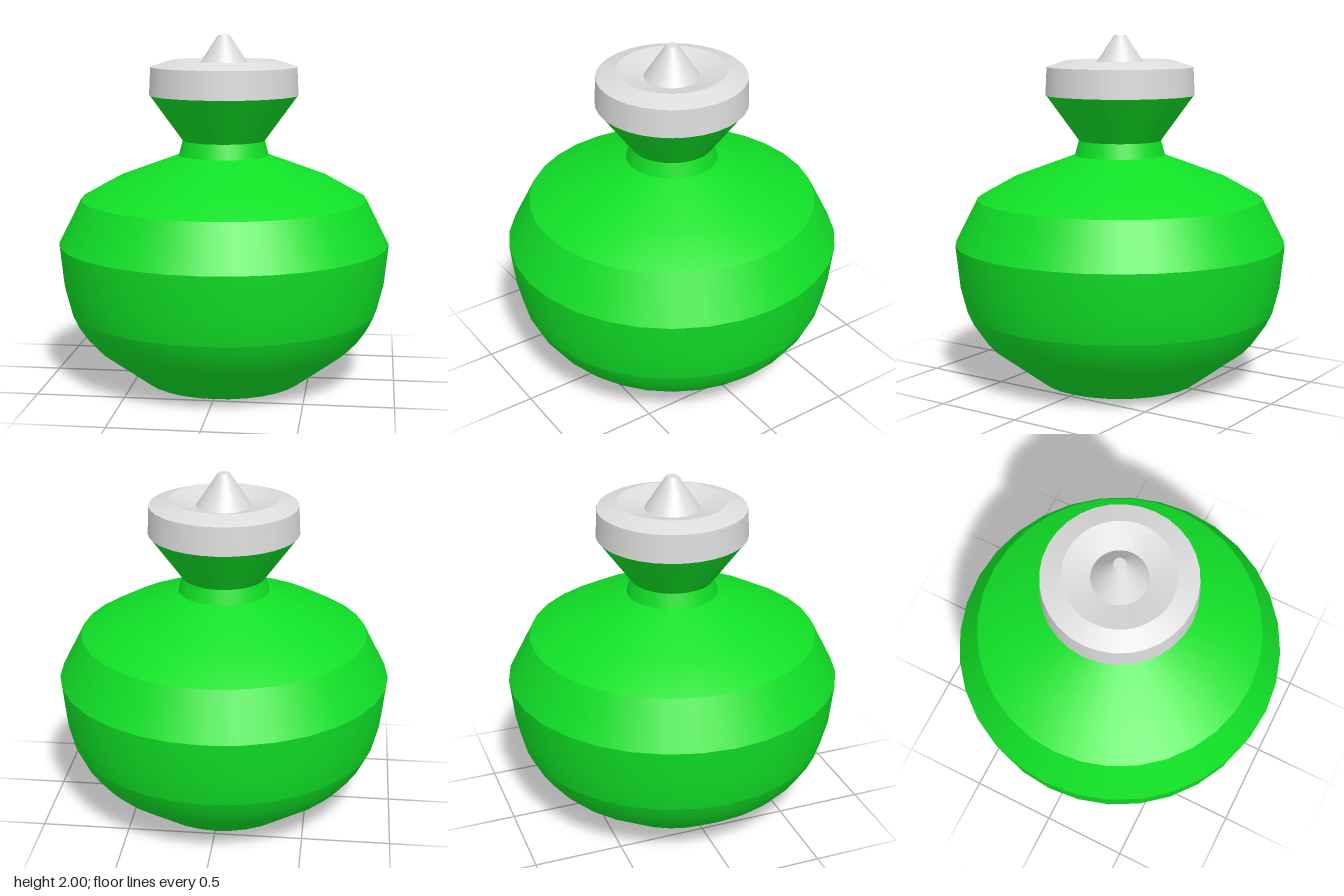
import * as THREE from 'three';

const SIDES = 32;

export function createModel() {
  const green = new THREE.MeshStandardMaterial({ color: 0x10e026 });
  green.name = 'green glaze';
  const grey = new THREE.MeshStandardMaterial({ color: 0xdcdcdc });
  grey.name = 'light grey metal';

  const model = new THREE.Group();
  model.name = 'lidded pot';

  // One turned part: each band is smooth, with sharp edges between bands.
  // Profiles are [radius, height] and run from bottom to top.
  function turned(name, material, bands) {
    const part = new THREE.Group();
    part.name = name;
    bands.forEach((band, i) => {
      const points = band.map(([r, y]) => new THREE.Vector2(r, y));
      const mesh = new THREE.Mesh(new THREE.LatheGeometry(points, SIDES), material);
      mesh.name = `${name}Band${i + 1}`;
      part.add(mesh);
    });
    model.add(part);
  }

  // Round belly with its flat foot
  turned('belly', green, [
    [[0, 0], [0.47, 0]],
    [[0.47, 0], [0.75, 0.21], [0.802, 0.265], [0.857, 0.345], [0.892, 0.42]],
    [[0.892, 0.42], [0.93, 0.57], [0.955, 0.81]],
    [[0.955, 0.81], [0.823, 1.068]],
    [[0.823, 1.068], [0.622, 1.18], [0.26, 1.315]],
  ]);

  // Narrow collar and flared neck
  turned('neck', green, [
    [[0.26, 1.315], [0.237, 1.4]],
    [[0.237, 1.4], [0.425, 1.66]],
  ]);

  // Lid: underside, side wall, sloped rim and sunken dish
  turned('lid', grey, [
    [[0.42, 1.66], [0.428, 1.66]],
    [[0.428, 1.66], [0.42, 1.82]],
    [[0.42, 1.82], [0.305, 1.858]],
    [[0.305, 1.858], [0.155, 1.815]],
  ]);

  // Pointed knob with a small flat tip
  turned('knob', grey, [
    [[0.155, 1.815], [0.033, 2]],
    [[0.033, 2], [0, 2]],
  ]);

  return model;
}
